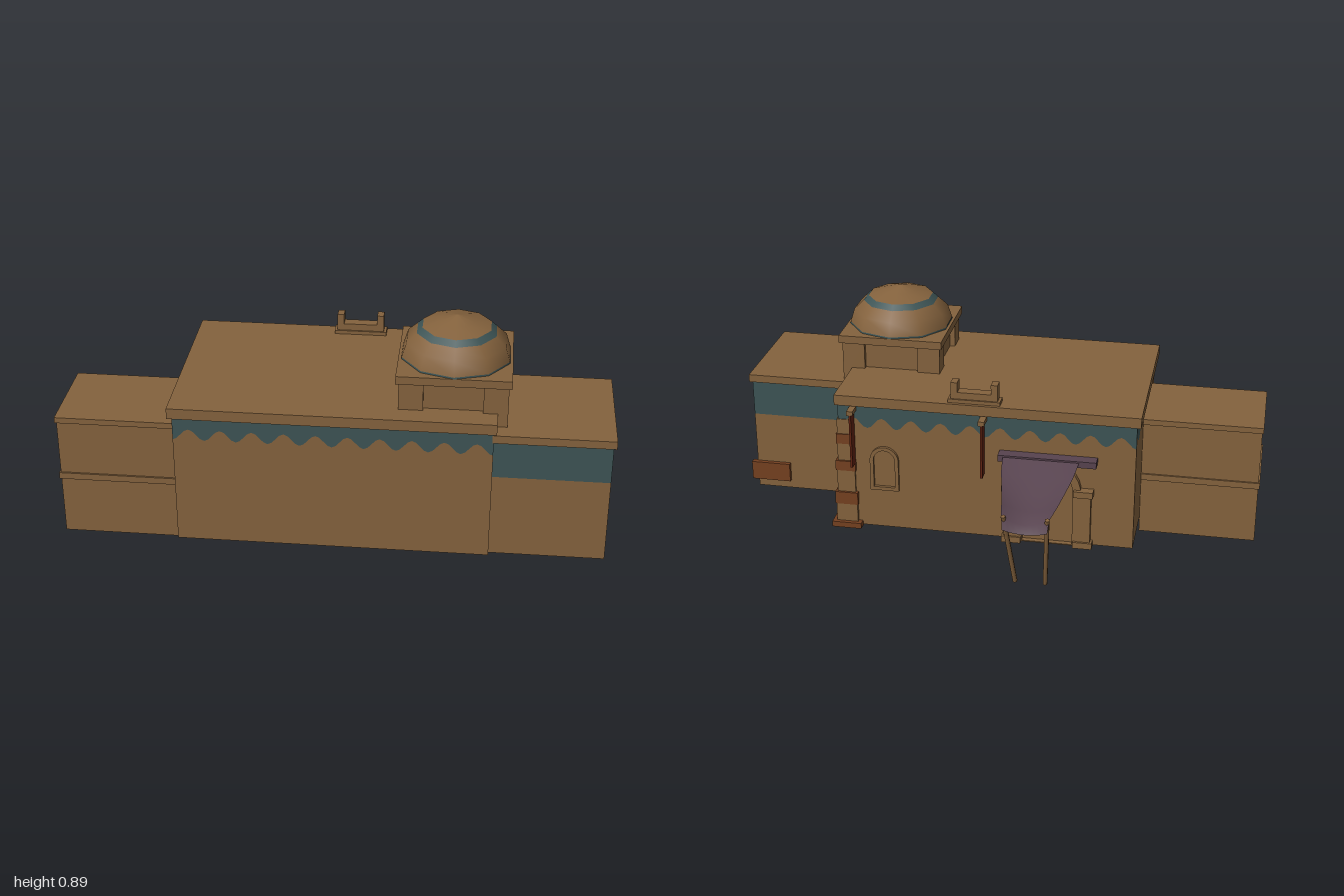
import * as THREE from 'three';

const material = (name, color) => {
  const m = new THREE.MeshStandardMaterial({ color, side: THREE.DoubleSide });
  m.name = name;
  return m;
};

export function createModel() {
  const root = new THREE.Group();
  root.name = 'domedHouse';
  const clay = material('clay', 0x84623d);
  const teal = material('teal', 0x3d5455);
  const rust = material('rust', 0x744020);
  const red = material('red', 0x602210);
  const purple = material('purple', 0x57434f);

  const add = (name, geo, mat, parent = root) => {
    const m = new THREE.Mesh(geo, mat);
    m.name = name;
    parent.add(m);
    return m;
  };
  // box given by its limits; open boxes lose their underside
  const box = (name, mat, x0, x1, y0, y1, z0, z1, open = false) => {
    const g = new THREE.BoxGeometry(x1 - x0, y1 - y0, z1 - z0);
    if (open) {
      const idx = Array.from(g.index.array);
      idx.splice(18, 6);
      g.setIndex(idx);
      g.clearGroups();
    }
    g.translate((x0 + x1) / 2, (y0 + y1) / 2, (z0 + z1) / 2);
    return add(name, g, mat);
  };
  const poly = (pts) => new THREE.Shape(pts.map(([x, y]) => new THREE.Vector2(x, y)));

  // main hall: four walls, each split along a scalloped painted border
  const scallopedWall = (name, width, lobes, phase, x, z, turn) => {
    const edge = [];
    const n = lobes * 8;
    for (let i = 0; i <= n; i++) {
      const a = (i / n) * lobes * Math.PI * 2 + phase;
      edge.push([(i / n - 0.5) * width, 0.492 - 0.021 * Math.cos(a)]);
    }
    const w = width / 2;
    const g = new THREE.Group();
    g.name = name;
    g.position.set(x, 0, z);
    g.rotation.y = turn;
    root.add(g);
    add('lowerWall', new THREE.ShapeGeometry(poly([[w, 0.06], ...edge.slice().reverse(), [-w, 0.06]].reverse())), clay, g);
    add('scallopBorder', new THREE.ShapeGeometry(poly([...edge, [w, 0.56], [-w, 0.56]])), teal, g);
  };
  const X0 = -0.55, X1 = 0.57, Z0 = -0.155, Z1 = 0.53;
  const cx = (X0 + X1) / 2, cz = (Z0 + Z1) / 2;
  scallopedWall('frontWall', X1 - X0, 10, 0, cx, Z1, 0);
  scallopedWall('backWall', X1 - X0, 10, 0, cx, Z0, Math.PI);
  scallopedWall('leftWall', Z1 - Z0, 4, Math.PI, X1, cz, Math.PI / 2);
  scallopedWall('rightWall', Z1 - Z0, 4, Math.PI, X0, cz, -Math.PI / 2);
  box('mainRoof', clay, -0.565, 0.58, 0.56, 0.6, -0.165, 0.545);

  // left annex with painted upper band
  box('leftAnnexWall', clay, 0.57, 0.98, 0.065, 0.38, 0.08, 0.52);
  box('leftAnnexBand', teal, 0.57, 0.98, 0.38, 0.52, 0.08, 0.52);
  box('leftAnnexRoof', clay, 0.565, 0.99, 0.52, 0.55, 0.07, 0.53);
  box('annexBoard', rust, 0.845, 1.0, 0.1, 0.175, 0.063, 0.085);

  // right annex in two stacked storeys
  box('rightAnnexLower', clay, -0.995, -0.55, 0, 0.225, 0.097, 0.43, true);
  box('rightAnnexLedge', clay, -1, -0.545, 0.225, 0.25, 0.09, 0.437);
  box('rightAnnexUpper', clay, -0.995, -0.55, 0.25, 0.458, 0.097, 0.43);
  box('rightAnnexRoof', clay, -1, -0.55, 0.458, 0.48, 0.09, 0.437);

  // drum with corner piers
  const dx = 0.425, dz = 0.283;
  box('drumCore', clay, dx - 0.17, dx + 0.17, 0.55, 0.705, dz - 0.165, dz + 0.165);
  for (const sx of [-1, 1]) for (const sz of [-1, 1]) {
    const px = dx + sx * 0.147, pz = dz + sz * 0.142;
    box('drumPier', clay, px - 0.043, px + 0.043, 0.55, 0.705, pz - 0.041, pz + 0.041);
  }
  box('drumCornice', clay, dx - 0.2, dx + 0.2, 0.705, 0.735, dz - 0.198, dz + 0.198);

  // faceted dome with painted rings
  const lathe = (name, mat, pts) => {
    const g = new THREE.LatheGeometry(pts.map(([r, y]) => new THREE.Vector2(r, y)), 10);
    add(name, g, mat).position.set(dx, 0, dz);
  };
  lathe('domeShell', clay, [[0.198, 0.741], [0.182, 0.793], [0.145, 0.828]]);
  lathe('domeBaseRing', teal, [[0.199, 0.735], [0.198, 0.741]]);
  lathe('domeUpperRing', teal, [[0.145, 0.828], [0.125, 0.847]]);
  lathe('domeCap', clay, [[0.125, 0.847], [0.065, 0.867], [0, 0.886]]);

  // roof bench above the back wall
  box('benchBase', clay, -0.045, 0.15, 0.6, 0.614, -0.152, -0.1);
  box('benchWall', clay, -0.035, 0.14, 0.614, 0.64, -0.146, -0.106);
  box('benchPost', clay, -0.035, -0.01, 0.614, 0.678, -0.146, -0.106);
  box('benchPost', clay, 0.115, 0.14, 0.614, 0.678, -0.146, -0.106);

  // banded corner pillar: bottom, top, half width
  const px = 0.545, pz = -0.128;
  [
    [0.055, 0.077, 0.057, rust], [0.077, 0.15, 0.041, clay], [0.15, 0.2, 0.044, rust],
    [0.2, 0.29, 0.035, clay], [0.29, 0.33, 0.039, rust], [0.33, 0.4, 0.031, clay],
    [0.4, 0.44, 0.034, rust], [0.44, 0.5, 0.03, clay], [0.5, 0.56, 0.024, clay],
  ].forEach(([y0, y1, h, mat]) =>
    box(mat === rust ? 'pillarBand' : 'pillarShaft', mat, px - h, px + h, y0, y1, pz - h, pz + h));

  // hanging banners on brackets
  for (const x of [0.51, 0.015]) {
    box('bannerBracket', clay, x - 0.012, x + 0.012, 0.54, 0.557, -0.208, -0.15);
    box('banner', red, x - 0.004, x + 0.004, 0.325, 0.54, -0.205, -0.16);
  }

  // arched outline: opening inside a frame
  const archPath = (Type, x, y0, ySpring, r) => {
    const p = new Type();
    p.moveTo(x - r, y0);
    p.lineTo(x + r, y0);
    p.lineTo(x + r, ySpring);
    p.absarc(x, ySpring, r, 0, Math.PI, false);
    p.lineTo(x - r, y0);
    return p;
  };
  const archFrame = (name, x, y0, ySpring, outer, inner, sill, depth) => {
    const s = archPath(THREE.Shape, x, y0, ySpring, outer);
    s.holes.push(archPath(THREE.Path, x, y0 + sill, ySpring, inner));
    const g = new THREE.ExtrudeGeometry(s, { depth, bevelEnabled: false, curveSegments: 8 });
    g.translate(0, 0, Z0 - depth);
    add(name, g, clay);
  };
  archFrame('windowFrame', 0.395, 0.22, 0.345, 0.055, 0.041, 0.014, 0.012);

  // doorway: columns and arch
  const doorX = -0.228;
  archFrame('doorArch', doorX, 0.06, 0.28, 0.125, 0.095, 0.004, 0.02);
  for (const s of [-1, 1]) {
    const x = doorX + s * 0.135;
    box('doorColumn', clay, x - 0.028, x + 0.028, 0.075, 0.27, -0.178, Z0);
    box('doorColumnBase', clay, x - 0.036, x + 0.036, 0.055, 0.08, -0.186, Z0);
    box('doorCapital', clay, x - 0.036, x + 0.036, 0.27, 0.295, -0.19, Z0);
  }

  // cloth awning built from tapering cross-sections: z, y, half width, sag
  box('awningRail', purple, -0.41, -0.045, 0.4, 0.425, -0.2, Z0);
  const rows = [
    [-0.195, 0.42, 0.142, 0], [-0.28, 0.397, 0.132, 0.006], [-0.36, 0.375, 0.115, 0.014],
    [-0.45, 0.363, 0.1, 0.026], [-0.535, 0.357, 0.085, 0.028], [-0.55, 0.31, 0.08, 0.012],
  ];
  const cols = 8, pos = [], idx = [];
  rows.forEach(([z, y, w, sag], r) => {
    for (let c = 0; c <= cols; c++) {
      const t = (c / cols) * 2 - 1;
      pos.push(-0.205 + t * w, y - sag * (1 - t * t), z);
      if (r && c) {
        const a = (r - 1) * (cols + 1) + c - 1, b = a + cols + 1;
        idx.push(a, a + 1, b, a + 1, b + 1, b);
      }
    }
  });
  const cloth = new THREE.BufferGeometry();
  cloth.setAttribute('position', new THREE.Float32BufferAttribute(pos, 3));
  cloth.setIndex(idx);
  cloth.computeVertexNormals();
  add('awningCloth', cloth, purple);

  // leaning awning poles
  for (const s of [-1, 1]) {
    const a = new THREE.Vector3(-0.21 + s * 0.055, 0.045, -0.442);
    const b = new THREE.Vector3(-0.205 + s * 0.078, 0.358, -0.537);
    const d = b.clone().sub(a);
    const pole = add('awningPole', new THREE.CylinderGeometry(0.009, 0.009, d.length(), 6), clay);
    pole.position.copy(a).add(b).multiplyScalar(0.5);
    pole.quaternion.setFromUnitVectors(new THREE.Vector3(0, 1, 0), d.normalize());
  }
  return root;
}
